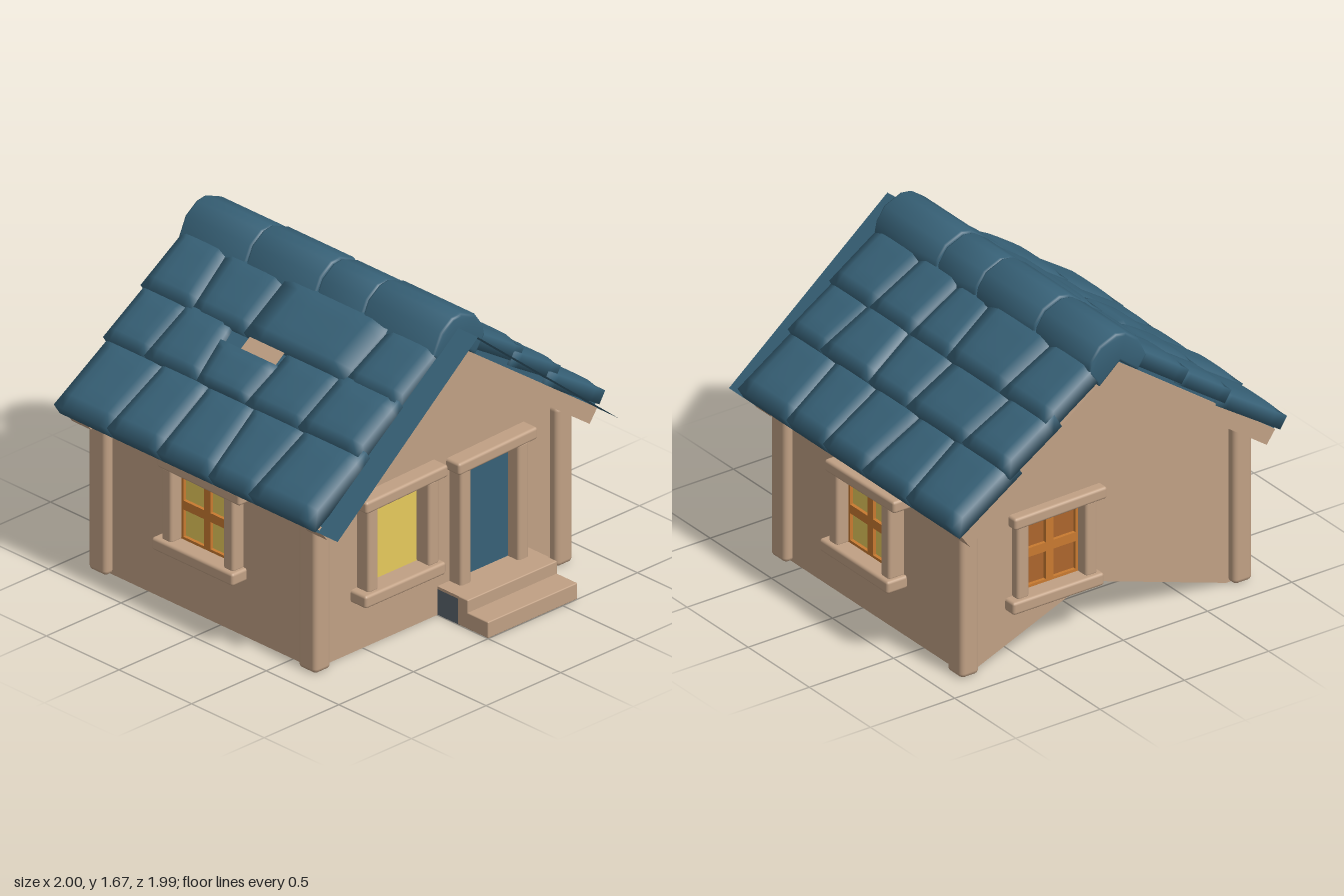
import * as THREE from 'three';
import { toCreasedNormals } from 'three/addons/utils/BufferGeometryUtils.js';
import { RoundedBoxGeometry } from 'three/addons/geometries/RoundedBoxGeometry.js';

const paint = (name, color, side = THREE.FrontSide) => {
  const m = new THREE.MeshStandardMaterial({ color, side });
  m.name = name;
  return m;
};

export function createModel() {
  const tan = paint('tan plaster', 0xc0a084);
  const teal = paint('teal roof', 0x376177, THREE.DoubleSide);
  const yellow = paint('yellow glass', 0xe6ca5c);
  const orange = paint('orange wood', 0xc87a30);
  const amber = paint('amber pane', 0xac662d);
  const brown = paint('dark brown wood', 0x5e381c);
  const grey = paint('grey stone', 0x59646d, THREE.DoubleSide);

  const house = new THREE.Group();
  house.name = 'cottage';

  const add = (parent, name, geo, mat, x = 0, y = 0, z = 0) => {
    const mesh = new THREE.Mesh(geo, mat);
    mesh.name = name;
    mesh.position.set(x, y, z);
    parent.add(mesh);
    return mesh;
  };
  // Box given by its minimum and maximum corners, softened when r > 0
  const block = (parent, name, mat, x0, x1, y0, y1, z0, z1, r = 0.015) => {
    const s = [x1 - x0, y1 - y0, z1 - z0];
    const geo = r ? new RoundedBoxGeometry(...s, 2, r) : new THREE.BoxGeometry(...s);
    return add(parent, name, geo, mat, (x0 + x1) / 2, (y0 + y1) / 2, (z0 + z1) / 2);
  };
  const shapeOf = (pts) => new THREE.Shape(pts.map((p) => new THREE.Vector2(...p)));

  // Walls: outer face at local z = 0, holes as [x0, x1, y0, y1]
  const wall = (name, pts, holes, x, z, turn) => {
    const shape = shapeOf(pts);
    for (const [x0, x1, y0, y1] of holes) {
      shape.holes.push(new THREE.Path([[x0, y0], [x0, y1], [x1, y1], [x1, y0]].map((p) => new THREE.Vector2(...p))));
    }
    const geo = new THREE.ExtrudeGeometry(shape, { depth: 0.03, bevelEnabled: false });
    geo.translate(0, 0, -0.03);
    add(house, name, geo, tan, x, 0, z).rotation.y = turn;
  };
  const gable = [[0.82, 0.85], [0, 1.44], [-0.82, 0.85]];
  wall('frontWall', [[-0.82, 0], [0.82, 0], ...gable], [[-0.47, -0.13, 0.34, 0.77], [0.15, 0.47, 0.15, 0.77]], 0, 0.65, 0);
  wall('backWall', [[-0.82, 0], [-0.75, 0], [-0.08, 0.27], [0.74, 0], [0.82, 0], ...gable],
    [[-0.46, -0.12, 0.33, 0.71]], 0, -0.82, Math.PI);
  const side = [[-0.82, 0], [0.65, 0], [0.65, 0.86], [-0.82, 0.86]];
  wall('leftWall', side, [[-0.27, 0.09, 0.37, 0.74]], -0.82, 0, -Math.PI / 2);
  wall('rightWall', side.map(([x, y]) => [-x, y]).reverse(), [[-0.09, 0.27, 0.33, 0.7]], 0.82, 0, Math.PI / 2);

  // Corner posts
  for (const s of [-1, 1]) {
    block(house, 'frontPost', tan, s * 0.81 - 0.055, s * 0.81 + 0.055, 0, 0.86, 0.575, 0.7, 0.025);
    block(house, 'backPost', tan, s * 0.81 - 0.055, s * 0.81 + 0.055, 0, 0.86, -0.87, -0.745, 0.025);
  }

  // Timber surround, through the wall, of an opening of half width w and height h
  const surround = (g, w, h, sill, tilt) => {
    for (const s of [-1, 1]) {
      block(g, 'jamb', tan, s * (w + 0.033) - 0.035, s * (w + 0.033) + 0.035, -0.01, h + 0.02, -0.06, 0.08);
    }
    block(g, 'lintel', tan, -w - 0.09, w + 0.12, h + 0.005, h + 0.07, -0.06, 0.09).rotation.z = tilt;
    if (sill) block(g, 'sill', tan, -w - 0.11, w + 0.09, -0.068, 0, -0.06, 0.105);
  };
  const openingGroup = (name, x, y, z, turn) => {
    const g = new THREE.Group();
    g.name = name;
    g.position.set(x, y, z);
    g.rotation.y = turn;
    house.add(g);
    return g;
  };
  const makeWindow = (name, x, y, z, turn, w, h, pane, plain, tilt) => {
    const g = openingGroup(name, x, y, z, turn);
    surround(g, w, h, true, tilt);
    block(g, 'pane', pane, -w, w, 0, h, -0.014, -0.006, 0);
    if (plain) block(g, 'innerPane', amber, -w, w, 0, h, -0.024, -0.015, 0);
    const f = plain ? -0.016 : 0.012;
    const bar = (x0, x1, y0, y1) => block(g, 'glazingBar', plain ? brown : orange, x0, x1, y0, y1, -0.035, f, 0);
    bar(-0.022, 0.022, 0, h);
    bar(-w, w, h / 2 - 0.024, h / 2 + 0.024);
    for (const s of [-1, 1]) bar(s * (w - 0.008) - 0.008, s * (w - 0.008) + 0.008, 0, h);
    bar(-w, w, 0, 0.014);
    bar(-w, w, h - 0.014, h);
  };
  makeWindow('frontWindow', -0.3, 0.34, 0.65, 0, 0.17, 0.43, yellow, true, 0.025);
  makeWindow('rightWindow', 0.83, 0.33, -0.09, Math.PI / 2, 0.18, 0.37, yellow, false, 0.015);
  makeWindow('leftWindow', -0.81, 0.37, -0.09, -Math.PI / 2, 0.18, 0.37, yellow, false, -0.015);
  makeWindow('backWindow', 0.29, 0.33, -0.785, Math.PI, 0.17, 0.38, amber, false, 0.015);

  // Door and steps
  const door = openingGroup('door', 0.31, 0.15, 0.65, 0);
  surround(door, 0.16, 0.61, false, 0.03);
  block(door, 'doorPanel', teal, -0.16, 0.16, 0, 0.62, -0.02, 0.005, 0);
  block(house, 'lowerStep', tan, 0, 0.6, 0, 0.088, 0.84, 1, 0.006);
  block(house, 'upperStep', tan, 0, 0.6, 0, 0.155, 0.79, 0.86, 0.006);
  block(house, 'stepTread', tan, 0, 0.6, 0.14, 0.155, 0.65, 0.8, 0);
  for (const x of [0.003, 0.577]) block(house, 'stepEnd', grey, x, x + 0.02, 0, 0.141, 0.65, 0.8, 0);

  // Gable boards at both ends, and the roof deck resting on them
  const prism = (name, pts, mat, z0, z1) => {
    const geo = new THREE.ExtrudeGeometry(shapeOf(pts), { depth: z1 - z0, bevelEnabled: false });
    add(house, name, geo, mat, 0, 0, z0);
  };
  const board = [[0, 1.5], [-0.93, 0.84], [-0.88, 0.77], [0, 1.39], [0.88, 0.77], [0.93, 0.84]];
  prism('frontGableBoard', board, tan, 0.66, 0.795);
  prism('backGableBoard', board, tan, -0.96, -0.83);
  prism('roofDeck', [[0, 1.58], [-0.965, 0.895], [-0.935, 0.83], [0, 1.495], [0.935, 0.83], [0.965, 0.895]], teal, -0.94, 0.77);

  // Sloping sheet between two cross-section points
  const sheet = (name, mat, x0, y0, x1, y1, z0, z1) => {
    const geo = new THREE.PlaneGeometry(Math.hypot(x1 - x0, y1 - y0), z1 - z0);
    geo.rotateX(-Math.PI / 2);
    geo.rotateZ(Math.atan2(y1 - y0, x1 - x0));
    add(house, name, geo, mat, (x0 + x1) / 2, (y0 + y1) / 2, (z0 + z1) / 2);
  };
  sheet('frontEaveLeft', teal, -0.94, 0.83, 0, 1.6, 0.7, 0.93);
  sheet('frontEaveRight', teal, 0, 1.6, 0.94, 0.83, 0.7, 0.93);
  sheet('ceilingLeft', grey, -0.81, 0.858, 0, 1.44, -0.83, 0.66);
  sheet('ceilingRight', grey, 0, 1.44, 0.81, 0.858, -0.83, 0.66);
  sheet('barePatch', tan, -0.5, 1.262, -0.4, 1.335, -0.22, 0.02);

  // Pillowed tile between an outer and an inner cross-section point
  let count = 0;
  const tile = (s, [xo, yo], [xi, yi], z0, z1, slant0, slant1) => {
    const geo = new THREE.BoxGeometry(1, 1, 1, 6, 1, 6);
    const p = geo.attributes.position;
    const len = Math.hypot(xo - xi, yi - yo);
    const nx = (yi - yo) / len, ny = (xo - xi) / len;
    const lift = 0.008 * Math.sin(++count * 2.3);
    for (let i = 0; i < p.count; i++) {
      const u = 0.5 - s * p.getX(i), v = p.getZ(i) + 0.5, w = p.getY(i) + 0.5;
      const round = 0.02 * Math.min(1, (2 * u - 1) ** 6 + (2 * v - 1) ** 6);
      const d = (w - 1) * 0.1 + w * (lift - round);
      const a = z0 + slant0 * (u - 0.5), b = z1 + slant1 * (u - 0.5);
      p.setXYZ(i, s * (xo + (xi - xo) * u + nx * d), yo + (yi - yo) * u + ny * d, a + (b - a) * v);
    }
    add(house, 'roofTile', toCreasedNormals(geo, 1.7), teal);
  };
  // Rows from eaves to ridge, with the joints along z
  const rows = [
    { s: 1, o: [1.008, 0.93], i: [0.63, 1.165], z: [-0.975, -0.58, -0.25, 0.08, 0.4, 0.79] },
    { s: 1, o: [0.715, 1.165], i: [0.4, 1.355], z: [-0.985, -0.67, -0.2, 0.14, 0.49, 0.785] },
    { s: 1, o: [0.465, 1.345], i: [0.12, 1.56], z: [-0.975, -0.63, -0.16, 0.12, 0.43, 0.785] },
    { s: -1, o: [1.008, 0.918], i: [0.63, 1.165], z: [-0.965, -0.58, -0.26, 0.075, 0.395, 0.795] },
    { s: -1, o: [0.68, 1.165], i: [0.4, 1.355], z: [-0.965, -0.67, -0.34, 0.02, 0.39, 0.785], short: 2 },
    { s: -1, o: [0.425, 1.35], i: [0.12, 1.56], z: [-0.965, -0.64, -0.25, 0.45, 0.785] },
  ];
  rows.forEach(({ s, o, i, z, short }, r) => {
    const slant = (k) => (k === 0 || k === z.length - 1 ? 0.01 : 0.045 * Math.sin(k * 2.1 + r * 1.7));
    for (let k = 0; k < z.length - 1; k++) {
      tile(s, o, k === short ? [0.48, 1.3] : i, z[k], z[k + 1], slant(k), slant(k + 1));
    }
  });

  // Ridge caps
  const cap = shapeOf([[-0.143, 1.5], [-0.105, 1.45], [0, 1.53], [0.115, 1.43], [0.165, 1.5], [0.155, 1.55],
    [0.11, 1.615], [0.02, 1.652], [-0.03, 1.645], [-0.1, 1.595]]);
  const ridge = [-0.975, -0.515, -0.035, 0.285, 0.795];
  for (let k = 0; k < 4; k++) {
    const depth = ridge[k + 1] - ridge[k] - 0.03;
    const geo = new THREE.ExtrudeGeometry(cap, { depth, bevelThickness: 0.015, bevelSize: 0.015, bevelSegments: 2 });
    add(house, 'ridgeCap', toCreasedNormals(geo, 0.9), teal, 0, k % 2 ? 0.004 : -0.002, ridge[k] + 0.015);
  }
  return house;
}
